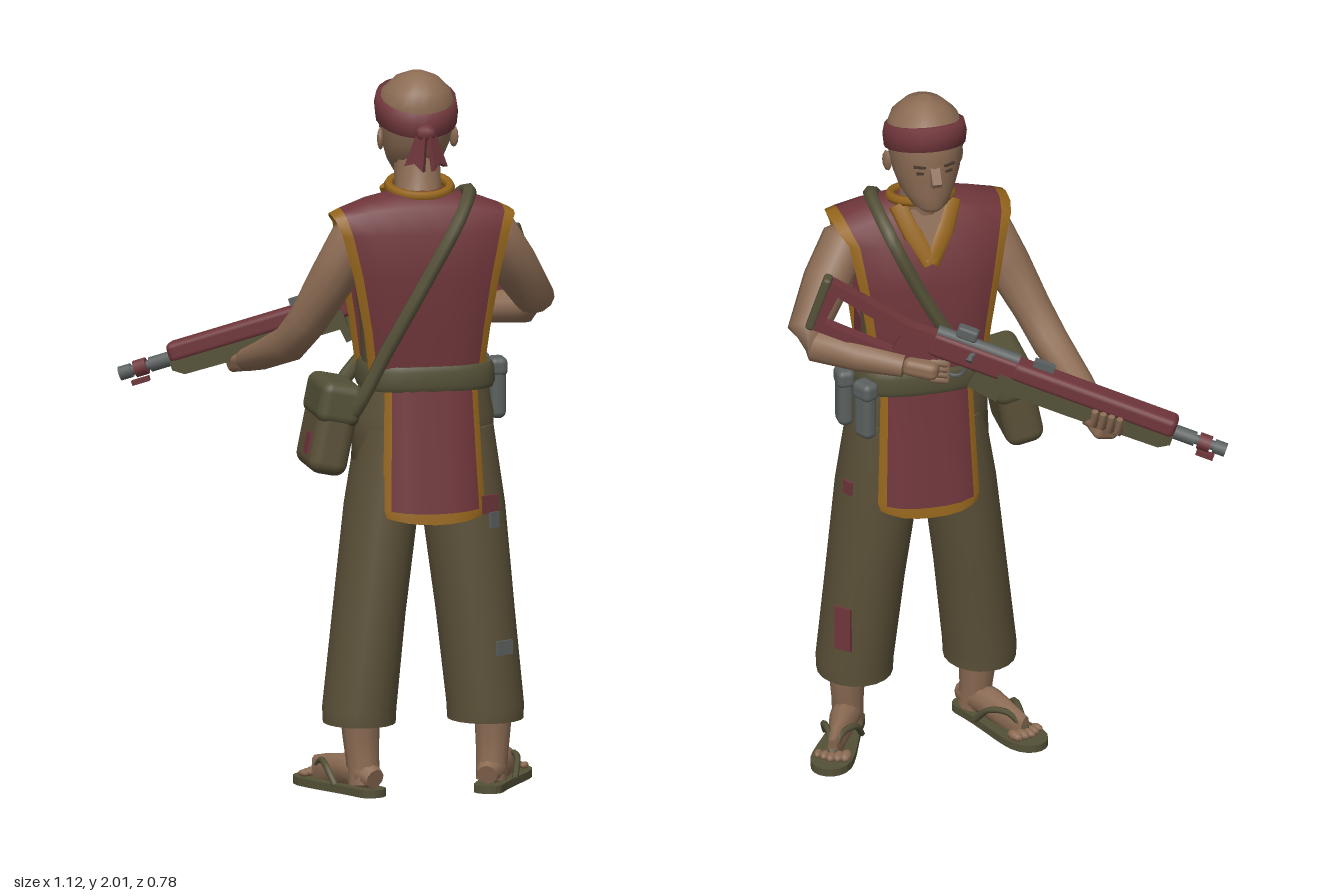
import * as THREE from 'three';
import { RoundedBoxGeometry } from 'three/addons/geometries/RoundedBoxGeometry.js';

const V = (x, y, z) => new THREE.Vector3(x, y, z);
const mat = (name, color) => Object.assign(new THREE.MeshStandardMaterial({ color }), { name });

function build(pos, index) {
  const g = new THREE.BufferGeometry();
  g.setAttribute('position', new THREE.Float32BufferAttribute(pos, 3));
  g.setIndex(index);
  g.computeVertexNormals();
  return g;
}

// Closed skin over a stack of point loops, capped at both ends.
function skin(rings) {
  const n = rings[0].length, pos = rings.flat().flatMap(p => p.toArray()), idx = [];
  for (let i = 0; i < rings.length - 1; i++) for (let j = 0; j < n; j++) {
    const k = (j + 1) % n, a = i * n + j, b = i * n + k, c = b + n, d = a + n;
    idx.push(a, d, b, b, d, c);
  }
  for (const [ring, top] of [[rings[0], false], [rings.at(-1), true]]) {
    const base = pos.length / 3, c = ring.reduce((s, p) => s.add(p), V(0, 0, 0)).divideScalar(n);
    pos.push(...c.toArray(), ...ring.flatMap(p => p.toArray()));
    for (let j = 0; j < n; j++) {
      const a = base + 1 + j, b = base + 1 + (j + 1) % n;
      idx.push(base, top ? b : a, top ? a : b);
    }
  }
  return build(pos, idx);
}

// Hanging cloth: rows [y, centre x, z, half width, edge shift in y, edge shift in z]; hem rows and side strips use material 1.
function sheet(rows, rim, hems = []) {
  const cols = [-1, -1 + rim, -.6, -.3, 0, .3, .6, 1 - rim, 1], n = cols.length, pos = [], red = [], gold = [];
  for (const [y, x, z, w, dy, dz] of rows) for (const s of cols) pos.push(x + s * w, y + dy * s * s, z + dz * s ** 4);
  for (let i = 0; i < rows.length - 1; i++) for (let j = 0; j < n - 1; j++) {
    const a = i * n + j;
    (hems.includes(i) || j === 0 || j === n - 2 ? gold : red).push(a, a + 1, a + n, a + 1, a + n + 1, a + n);
  }
  const g = build(pos, [...red, ...gold]);
  g.addGroup(0, red.length, 0);
  g.addGroup(red.length, gold.length, 1);
  return g;
}

// Horizontal superellipse loop: y, centre x, centre z, half width, half depth; tilt raises the front.
function loop([y, cx, cz, rx, rz], n, p, tilt) {
  const f = v => Math.sign(v) * Math.abs(v) ** (2 / p);
  return Array.from({ length: n }, (_, j) => {
    const a = j / n * Math.PI * 2, dz = rz * f(Math.sin(a));
    return V(cx + rx * f(Math.cos(a)), y - tilt * dz, cz + dz);
  });
}
const loft = (rows, n = 20, p = 2, tilt = 0) => skin(rows.map(r => loop(r, n, p, tilt)));

// Round limb along points [x, y, z, radius, flattening].
function limb(pts, ref = V(0, 0, 1), n = 10) {
  const c = pts.map(p => V(p[0], p[1], p[2]));
  return skin(c.map((p, i) => {
    const t = c[Math.min(i + 1, c.length - 1)].clone().sub(c[Math.max(i - 1, 0)]).normalize();
    const u = ref.clone().cross(t).normalize(), v = u.clone().cross(t);
    return Array.from({ length: n }, (_, j) => {
      const a = j / n * Math.PI * 2, r = pts[i][3];
      return p.clone().addScaledVector(u, r * Math.cos(a)).addScaledVector(v, r * (pts[i][4] ?? 1) * Math.sin(a));
    });
  }));
}
const tube = (pts, r, closed = false) => new THREE.TubeGeometry(
  new THREE.CatmullRomCurve3(pts.map(p => V(...p)), closed), pts.length * 5, r, 6, closed);
const box = (w, h, d) => new THREE.BoxGeometry(w, h, d);
function plate(pts, depth, hole) {
  const s = new THREE.Shape(pts.map(p => new THREE.Vector2(...p)));
  if (hole) s.holes.push(new THREE.Path(hole.map(p => new THREE.Vector2(...p))));
  return new THREE.ExtrudeGeometry(s, { depth, bevelEnabled: false }).translate(0, 0, -depth / 2);
}

export function createModel() {
  const root = new THREE.Group();
  const flesh = mat('skin', 0x8c6c54), red = mat('red cloth', 0x6f363b), gold = mat('gold trim', 0x95651c), olive = mat('olive cloth', 0x5b5138),
    strapMat = mat('strap green', 0x545037), metal = mat('grey metal', 0x5b6160), dark = mat('dark brown', 0x4a392d);
  red.side = gold.side = THREE.DoubleSide;
  const add = (name, g, m, parent = root, pos = [0, 0, 0], rot = [0, 0, 0]) => {
    const o = new THREE.Mesh(g, m);
    o.name = name;
    o.position.set(...pos);
    o.rotation.set(...rot);
    parent.add(o);
  };
  const group = (name, pos = [0, 0, 0]) => {
    const g = new THREE.Group();
    g.name = name;
    g.position.set(...pos);
    root.add(g);
    return g;
  };

  // Trousers
  const legs = [
    [[.2, -.02, .25, .1, .115], [.24, -.02, .25, .102, .117], [.5, .01, .235, .1, .125], [.8, .05, .212, .102, .133], [1.02, .085, .205, .1, .122]],
    [[.2, .335, .25, .105, .115], [.24, .335, .25, .107, .117], [.5, .31, .235, .109, .125], [.8, .28, .212, .116, .133], [1.02, .255, .205, .11, .122]]];
  legs.forEach(rows => add('trouserLeg', loft(rows), olive));
  add('hips', loft([[.84, .165, .205, .12, .09], [.93, .167, .205, .2, .13], [1.05, .17, .203, .198, .131], [1.18, .17, .2, .172, .12]], 24), olive);
  for (const [y, a, w, h, m] of [[.81, 1.1, .06, .05, red], [.765, 1.02, .035, .045, metal], [.41, 1.1, .055, .04, metal],
    [.38, -.85, .05, .13, red], [.82, -.5, .035, .04, red]]) {
    const rows = legs[1], i = rows.findIndex(r => r[0] > y), f = (y - rows[i - 1][0]) / (rows[i][0] - rows[i - 1][0]);
    const [, cx, cz, rx, rz] = rows[i].map((v, k) => rows[i - 1][k] * (1 - f) + v * f);
    add('patch', box(w, h, .009), m, root, [cx + rx * Math.cos(a), y, cz + rz * Math.sin(a)], [0, Math.atan2(Math.cos(a) / rx, Math.sin(a) / rz), 0]);
  }

  // Undershirt and the red tabard that runs from the back over the shoulders to the front
  add('undershirt', loft([[1.13, .165, .2, .162, .115], [1.3, .16, .203, .165, .12], [1.45, .155, .208, .18, .122],
    [1.56, .155, .218, .2, .105], [1.61, .155, .222, .19, .07]], 28, 2.3), olive);
  add('tabard', sheet([[1.15, .162, .326, .158, 0, -.04], [1.3, .16, .338, .178, 0, -.035], [1.45, .157, .346, .205, 0, -.03], [1.57, .155, .342, .235, 0, -.025],
    [1.645, .155, .315, .253, -.03, -.015], [1.675, .155, .27, .256, -.055, 0], [1.685, .155, .215, .254, -.065, 0], [1.66, .155, .15, .245, -.055, .02],
    [1.58, .155, .095, .225, 0, .035], [1.45, .156, .072, .2, 0, .04], [1.3, .158, .067, .176, 0, .04], [1.15, .162, .07, .16, 0, .04]], .12), [red, gold]);
  add('sidePatch', box(.009, .08, .075), red, root, [.322, 1.27, .25]);
  add('collar', new THREE.TorusGeometry(.085, .014, 6, 24).rotateX(Math.PI / 2), gold, root, [.16, 1.685, .2], [.2, 0, 0]);
  for (const s of [-1, 1]) // V-shaped neckline
    add('neckline', limb([[.16 + s * .078, 1.685, .15, .026, .4], [.16 + s * .045, 1.61, .108, .028, .4], [.16, 1.525, .08, .024, .4]]), gold);
  add('throat', plate([[-.05, .09], [.05, .09], [0, -.04]], .01), flesh, root, [.16, 1.59, .098], [.35, 0, 0]);

  // Hanging front and back flaps with gold hems
  for (const [name, z, out] of [['backFlap', .335, 1], ['frontFlap', .066, -1]])
    add(name, sheet([[1.16, .17, z, .13, 0, -out * .03], [.97, .171, z + out * .022, .137, 0, -out * .035],
      [.795, .172, z + out * .044, .144, .01, -out * .042], [.765, .172, z + out * .047, .137, .018, -out * .04]], .14, [2]), [red, gold]);

  // Belt, ammunition pouches, shoulder strap and bag
  add('belt', loft([[1.13, .176, .198, .184, .14], [1.145, .176, .198, .19, .147], [1.185, .176, .198, .187, .147], [1.2, .176, .198, .178, .14]], 32, 3), strapMat);
  for (const [x, z, r] of [[.388, .157, 0], [.352, .062, .5]]) {
    add('pouch', new RoundedBoxGeometry(.045, .16, .062, 3, .02), metal, root, [x, 1.1, z], [0, r, 0]);
    add('pouchLid', new RoundedBoxGeometry(.052, .055, .068, 3, .018), metal, root, [x, 1.165, z], [0, r, 0]);
  }
  add('shoulderStrap', tube([[-.06, 1.06, .3], [.04, 1.25, .338], [.14, 1.43, .352], [.24, 1.6, .334], [.29, 1.672, .25], [.27, 1.61, .1],
    [.18, 1.42, .062], [.07, 1.24, .06], [-.03, 1.13, .09], [-.09, 1.06, .18]], .021, true), strapMat);
  const bag = group('bag', [-.1, 1.025, .215]);
  bag.rotation.z = -.2;
  add('bagBody', new RoundedBoxGeometry(.11, .25, .22, 3, .035), olive, bag);
  add('bagLid', new RoundedBoxGeometry(.122, .12, .23, 3, .03), strapMat, bag, [0, .075, 0]);
  add('bagPatch', box(.008, .06, .05), red, bag, [-.056, -.05, .04]);

  // Feet and sandals
  const sole = new THREE.Shape();
  sole.moveTo(-.04, -.13);
  sole.bezierCurveTo(-.04, -.175, .04, -.175, .04, -.13);
  sole.bezierCurveTo(.04, -.02, .062, .05, .058, .11);
  sole.bezierCurveTo(.05, .19, -.045, .19, -.055, .11);
  sole.bezierCurveTo(-.06, .04, -.04, -.03, -.04, -.13);
  for (const [x, turn] of [[-.058, .45], [.394, -.45]]) {
    const foot = group('foot', [x, 0, .178]);
    foot.rotation.y = turn;
    foot.scale.set(1.03, 1, 1.08);
    add('sandalSole', new THREE.ExtrudeGeometry(sole, { depth: .022, bevelEnabled: false, curveSegments: 8 }).rotateX(-Math.PI / 2), strapMat, foot);
    add('ankle', limb([[0, .03, .1, .043], [0, .1, .092, .044], [0, .17, .085, .049], [0, .26, .085, .056]]), flesh, foot);
    add('instep', limb([[0, .05, .145, .028], [0, .06, .11, .042], [0, .062, .03, .044, .85], [0, .045, -.05, .048, .5], [0, .036, -.1, .045, .32]], V(1, 0, 0)), flesh, foot);
    for (let i = 0; i < 5; i++) {
      const t = (i - 2) * .019, r = .011 + (turn > 0 ? i : 4 - i) * .0012;
      add('toe', new THREE.SphereGeometry(r, 8, 6).scale(1, .9, 1.7), flesh, foot, [t, .033, -.118 + Math.abs(t) * .3]);
    }
    for (const s of [-1, 1])
      add('sandalStrap', tube([[s * .05, .022, .04], [s * .043, .072, -.01], [s * .018, .075, -.06], [0, .03, -.11]], .009), strapMat, foot);
  }

  // Head, facing -z
  const head = group('head');
  add('neck', limb([[.16, 1.6, .21, .085], [.16, 1.67, .18, .066], [.16, 1.78, .165, .064]], V(0, 0, 1), 14), flesh, head);
  add('skull', loft([[1.698, .16, .09, .03, .035], [1.715, .16, .105, .053, .063], [1.75, .16, .132, .076, .09], [1.8, .16, .146, .093, .108],
    [1.86, .16, .154, .104, .118], [1.91, .16, .158, .108, .118], [1.95, .16, .16, .094, .104], [1.985, .16, .163, .058, .066], [2, .16, .165, .02, .02]]), flesh, head);
  add('nose', plate([[0, .05], [.03, .005], [.022, -.008], [0, -.012]], .026).rotateY(Math.PI / 2), flesh, head, [.16, 1.8, .042]);
  add('mouth', box(.036, .006, .009), dark, head, [.16, 1.757, .051]);
  add('lowerLip', box(.034, .012, .014), flesh, head, [.16, 1.747, .053]);
  for (const s of [-1, 1]) {
    add('eye', box(.02, .007, .009), dark, head, [.16 + s * .04, 1.828, .048], [0, s * -.35, 0]);
    add('brow', box(.034, .006, .009), dark, head, [.16 + s * .042, 1.848, .046], [0, s * -.38, 0]);
    add('ear', new THREE.SphereGeometry(.028, 8, 6).scale(.35, 1.1, .75), flesh, head, [.16 + s * .103, 1.815, .17], [0, s * .3, 0]);
    add('knotTail', plate([[-.014, 0], [.014, 0], [.032, -.1], [0, -.085], [-.028, -.1]], .014), red, head, [.16 + s * .012, 1.845, .295], [-.2 - s * .1, s * .7, s * .28]);
  }
  add('headband', loft([[1.862, .16, .155, .1, .11], [1.864, .16, .155, .112, .124], [1.9, .16, .156, .116, .126], [1.932, .16, .158, .11, .116], [1.932, .16, .16, .08, .08]], 20, 2, .28), red, head);
  add('knot', new THREE.SphereGeometry(.026, 8, 6).scale(1.2, 1, .9), red, head, [.16, 1.845, .288]);

  // Arms and hands
  add('supportArm', limb([[0, 1.57, .24, .045], [-.035, 1.545, .235, .066], [-.088, 1.43, .2, .064], [-.145, 1.31, .155, .055],
    [-.18, 1.235, .08, .052], [-.22, 1.18, -.07, .042], [-.245, 1.145, -.19, .032]], V(1, 0, 0), 12), flesh);
  add('supportPalm', new RoundedBoxGeometry(.075, .05, .1, 2, .018), flesh, root, [-.242, 1.135, -.235], [-.2, .2, .3]);
  add('triggerArm', limb([[.33, 1.57, .235, .045], [.368, 1.545, .235, .066], [.43, 1.45, .19, .067], [.503, 1.345, .115, .056],
    [.485, 1.32, .075, .052], [.38, 1.305, .01, .046], [.27, 1.29, -.05, .034]], V(0, 0, 1), 12), flesh);
  add('triggerPalm', new RoundedBoxGeometry(.1, .05, .07, 2, .018), flesh, root, [.225, 1.29, -.07], [0, -.5, .1]);
  for (let i = 0; i < 4; i++) {
    const x = -.275 + i * .022, y = 1.125 + i * .008, z = -.275 + i * .006, h = 1.305 - i * .017;
    add('supportFinger', limb([[x + .01, y, z + .02, .013], [x, y + .015, z - .03, .012], [x, y + .06, z - .04, .01]], V(1, 0, 0), 6), flesh);
    add('triggerFinger', limb([[.2, h, -.08, .012], [.165, h, -.1, .011], [.15, h, -.06, .009]], V(0, 1, 0), 6), flesh);
  }

  // Rifle, built along x from muzzle to butt and then swung into the arms
  const rifle = group('rifle', [-.56, 1.085, -.38]);
  const rod = (name, x0, x1, r, y, m) => add(name, new THREE.CylinderGeometry(r, r, x1 - x0, 10).rotateZ(Math.PI / 2), m, rifle, [(x0 + x1) / 2, y, 0]);
  rod('muzzle', 0, .035, .02, 0, metal);
  rod('barrel', .03, .3, .014, 0, metal);
  rod('muzzleCollar', .045, .08, .024, 0, red);
  rod('barrelSleeve', .09, .17, .021, 0, metal);
  add('bayonetLug', box(.05, .014, .02), red, rifle, [.05, -.035, 0]);
  add('handguard', new RoundedBoxGeometry(.48, .056, .066, 2, .016), red, rifle, [.39, .016, 0]);
  add('foreEnd', plate([[.15, -.005], [.66, -.005], [.66, -.055], [.45, -.055], [.18, -.05], [.15, -.03]], .058), strapMat, rifle);
  add('receiver', new RoundedBoxGeometry(.27, .07, .054, 2, .012), red, rifle, [.73, .008, 0]);
  rod('bolt', .62, .86, .018, .042, metal);
  add('boltHandle', limb([[.74, .03, -.01, .008], [.75, .02, -.035, .008], [.75, .01, -.045, .011]], V(1, 0, 0), 6), metal, rifle);
  add('rearSight', box(.06, .025, .02), metal, rifle, [.55, .052, 0]);
  add('sightBlock', new RoundedBoxGeometry(.06, .035, .034, 2, .008), metal, rifle, [.78, .068, 0]);
  add('magazine', box(.09, .07, .032), strapMat, rifle, [.68, -.055, 0], [0, 0, .15]);
  add('triggerGuard', new THREE.TorusGeometry(.028, .006, 5, 14), metal, rifle, [.78, -.045, 0]);
  add('stock', plate([[.82, .04], [.93, .035], [1.18, .08], [1.19, -.08], [1.08, -.08], [.88, -.09], [.83, -.03]], .038,
    [[.95, 0], [1.15, .043], [1.16, -.05], [.96, -.058]]), red, rifle);
  add('buttPlate', new RoundedBoxGeometry(.026, .17, .046, 2, .01), strapMat, rifle, [1.193, 0, 0]);
  const d = V(1.03, .37, .43).normalize(), side = d.clone().cross(V(0, 1, 0)).normalize();
  rifle.quaternion.setFromRotationMatrix(new THREE.Matrix4().makeBasis(d, side.clone().cross(d), side));
  return root;
}
